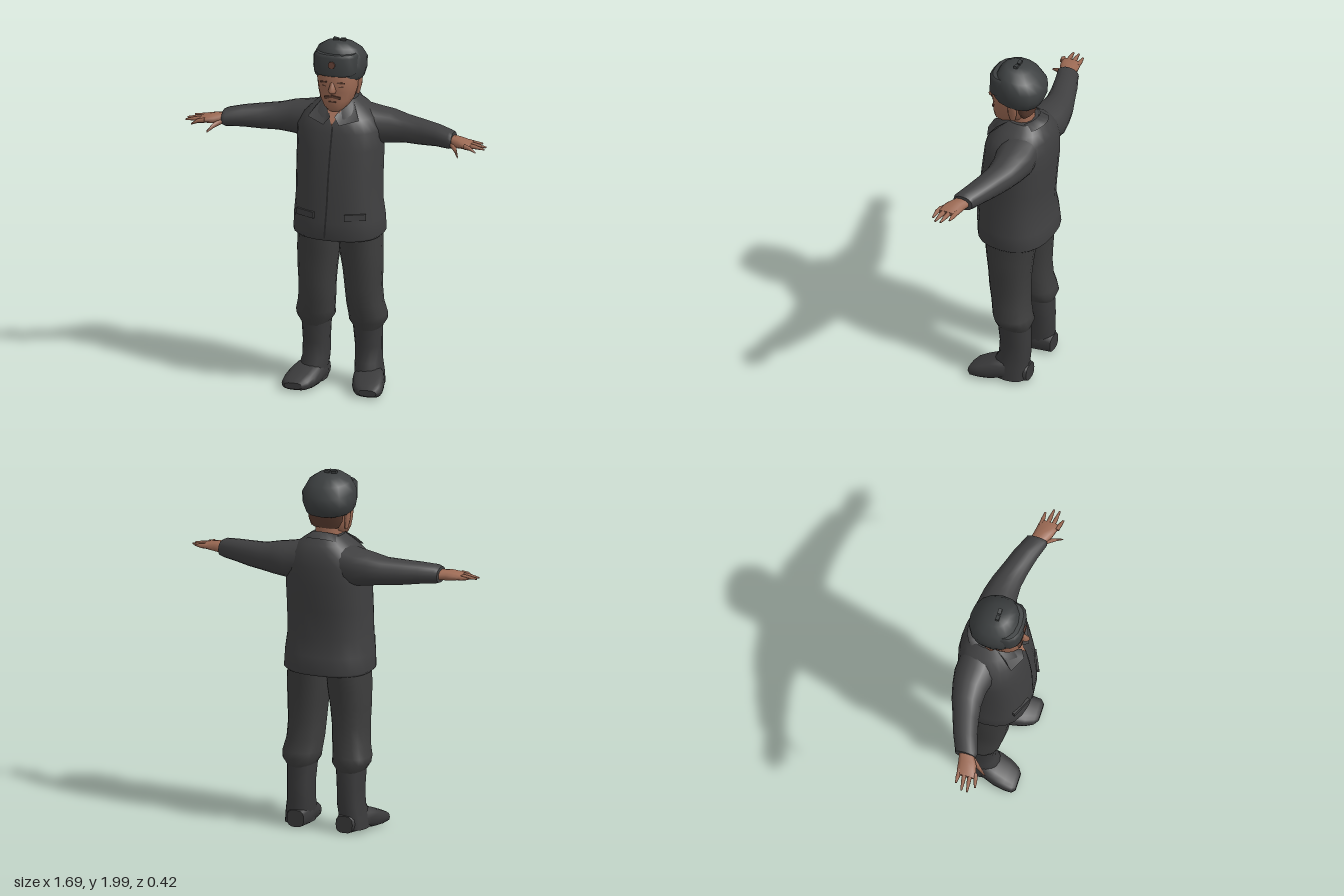
import * as THREE from 'three';

const mat = (name, color, side = THREE.FrontSide) => {
  const m = new THREE.MeshStandardMaterial({ color, side });
  m.name = name;
  return m;
};

// Skin over rings [t, a0, a1, b0, b1]: bounds of a superellipse section at t.
// Axis y uses a = x, b = z; axis x uses a = y, b = z; axis z uses a = x, b = y.
function loft(axis, rings, n = 16, power = 2.3, caps = true) {
  const pos = [], idx = [];
  const flip = (axis === 'y') !== (rings.at(-1)[0] < rings[0][0]);
  const put = (t, a, b) => {
    if (axis === 'y') pos.push(a, t, b);
    else if (axis === 'x') pos.push(t, a, b);
    else pos.push(a, b, t);
  };
  const tri = (a, b, c) => (flip ? idx.push(a, c, b) : idx.push(a, b, c));
  const bend = (v) => Math.sign(v) * Math.abs(v) ** (2 / power);
  const ring = ([t, a0, a1, b0, b1]) => {
    for (let j = 0; j < n; j++) {
      const w = (j / n) * Math.PI * 2;
      put(t, (a0 + a1) / 2 + bend(Math.cos(w)) * (a1 - a0) / 2,
        (b0 + b1) / 2 + bend(Math.sin(w)) * (b1 - b0) / 2);
    }
  };
  rings.forEach(ring);
  for (let i = 0; i < rings.length - 1; i++) {
    for (let j = 0; j < n; j++) {
      const k = (j + 1) % n, p = i * n, q = p + n;
      tri(p + j, p + k, q + k);
      tri(p + j, q + k, q + j);
    }
  }
  if (caps) {
    [rings[0], rings.at(-1)].forEach((r, end) => {
      const s = pos.length / 3;
      ring(r);
      put(r[0], (r[1] + r[2]) / 2, (r[3] + r[4]) / 2);
      for (let j = 0; j < n; j++) {
        const k = (j + 1) % n;
        if (end) tri(s + n, s + j, s + k);
        else tri(s + n, s + k, s + j);
      }
    });
  }
  return build(pos, idx);
}

function build(pos, idx) {
  const g = new THREE.BufferGeometry();
  g.setAttribute('position', new THREE.Float32BufferAttribute(pos, 3));
  g.setIndex(idx);
  g.computeVertexNormals();
  return g;
}

// Thin flat-sided patch fanned from its first corner
function patch(points) {
  const idx = [];
  for (let i = 1; i < points.length - 1; i++) idx.push(0, i, i + 1);
  return build(points.flat(), idx);
}

// Lift each vertex in proportion to its z
function shear(g, k) {
  const p = g.attributes.position;
  for (let i = 0; i < p.count; i++) p.setY(i, p.getY(i) + k * p.getZ(i));
  g.computeVertexNormals();
  return g;
}

function mirror(g) {
  const m = g.clone().scale(-1, 1, 1), ix = m.index.array;
  for (let i = 0; i < ix.length; i += 3) [ix[i], ix[i + 1]] = [ix[i + 1], ix[i]];
  m.computeVertexNormals();
  return m;
}

function plate(w, h, d, x, y, z, ry = 0, rz = 0) {
  return new THREE.BoxGeometry(w, h, d).rotateZ(rz).rotateY(ry).translate(x, y, z);
}

export function createModel() {
  const group = new THREE.Group();
  const coat = mat('coat cloth', 0x404041, THREE.DoubleSide);
  const trouser = mat('trouser cloth', 0x3d3d3d);
  const boot = mat('boot leather', 0x3a3a3b);
  const fur = mat('hat fur', 0x3c3f40);
  const seam = mat('dark seam', 0x2a2a2b, THREE.DoubleSide);
  const skin = mat('skin', 0x9c6a54, THREE.DoubleSide);
  const hair = mat('hair', 0x5a3c30);
  const badge = mat('badge', 0x6a453a);

  const add = (name, g, m) => {
    const mesh = new THREE.Mesh(g, m);
    mesh.name = name;
    group.add(mesh);
  };
  const pair = (name, g, m) => {
    add(name + 'Left', g, m);
    add(name + 'Right', mirror(g), m);
  };
  const sym = (y, rx, z0, z1) => [y, -rx, rx, z0, z1];

  // Jacket body
  add('jacket', loft('y', [
    sym(0.895, 0.235, -0.19, 0.19), sym(0.91, 0.25, -0.205, 0.207), sym(1.0, 0.247, -0.195, 0.207),
    sym(1.1, 0.236, -0.175, 0.2), sym(1.25, 0.235, -0.187, 0.195), sym(1.4, 0.236, -0.2, 0.178),
    sym(1.5, 0.235, -0.2, 0.165), sym(1.57, 0.2, -0.19, 0.142), sym(1.62, 0.145, -0.165, 0.1),
    sym(1.66, 0.09, -0.125, 0.06),
  ], 24, 2.4), coat);
  add('collar', shear(loft('y', [
    sym(1.585, 0.125, -0.165, 0.12), sym(1.635, 0.088, -0.115, 0.075), sym(1.6, 0.075, -0.1, 0.06),
  ], 20, 2, false), -0.45), coat);
  pair('collarLeaf', patch([
    [0.08, 1.665, 0.02], [0.115, 1.62, 0.085], [0.145, 1.575, 0.125],
    [0.045, 1.55, 0.167], [0.012, 1.59, 0.145], [0.045, 1.64, 0.09],
  ]), coat);
  add('throat', patch([[-0.045, 1.63, 0.1], [0, 1.545, 0.162], [0.045, 1.63, 0.1]]), skin);
  const front = [[1.54, 0.159], [1.4, 0.182], [1.25, 0.199], [1.1, 0.204], [1.0, 0.211], [0.915, 0.211]];
  front.slice(1).forEach(([y, z], i) => {
    const [y0, z0] = front[i], x = -0.006 * i, e = x - 0.006;
    add('frontSeam', patch([[x, y0, z0], [e, y, z], [e + 0.01, y, z], [x + 0.01, y0, z0]]), seam);
  });
  pair('pocketFlap', plate(0.12, 0.035, 0.014, 0.14, 1.04, 0.18, 0.44), coat);

  // Sleeves
  pair('sleeve', loft('x', [
    [0.1, 1.42, 1.625, -0.17, 0.05], [0.2, 1.4, 1.602, -0.178, 0.045], [0.28, 1.41, 1.59, -0.165, 0.025],
    [0.36, 1.42, 1.57, -0.145, 0.022], [0.45, 1.424, 1.562, -0.112, 0.036], [0.55, 1.435, 1.552, -0.077, 0.06],
    [0.63, 1.438, 1.54, -0.042, 0.085], [0.65, 1.445, 1.53, -0.035, 0.08],
  ], 16, 2.2), coat);

  // Hands: palm, four fanned fingers and a thumb
  pair('palm', loft('x', [
    [0.62, 1.455, 1.515, -0.02, 0.06], [0.69, 1.457, 1.513, -0.005, 0.1],
    [0.74, 1.462, 1.503, 0.002, 0.115], [0.765, 1.47, 1.495, 0.008, 0.112],
  ], 10), skin);
  [[0.01, 0.815, 0.02, 1.482], [0.04, 0.845, 0.06, 1.476], [0.07, 0.845, 0.092, 1.474], [0.1, 0.805, 0.125, 1.462]]
    .forEach(([z, x, tz, ty]) => pair('finger', loft('x', [
      [0.735, 1.468, 1.5, z - 0.005, z + 0.022],
      [(0.735 + x) / 2, 1.468, 1.493, (z + tz) / 2 - 0.008, (z + tz) / 2 + 0.017],
      [x, ty - 0.005, ty + 0.005, tz - 0.005, tz + 0.006],
    ], 6, 2), skin));
  pair('thumb', loft('x', [
    [0.645, 1.46, 1.49, 0.04, 0.08], [0.685, 1.443, 1.475, 0.085, 0.125], [0.71, 1.428, 1.442, 0.14, 0.156],
  ], 6, 2), skin);

  // Trousers, bloused over the boot tops
  pair('trouserLeg', loft('y', [
    [0.94, -0.005, 0.23, -0.155, 0.145], [0.8, 0.004, 0.235, -0.135, 0.127], [0.7, 0.02, 0.235, -0.125, 0.112],
    [0.6, 0.03, 0.23, -0.12, 0.105], [0.5, 0.036, 0.236, -0.125, 0.088], [0.43, 0.044, 0.253, -0.14, 0.075],
    [0.395, 0.045, 0.25, -0.15, 0.065], [0.35, 0.075, 0.22, -0.132, 0.05],
  ]), trouser);

  // Boots
  pair('bootShaft', loft('y', [
    [0.38, 0.065, 0.225, -0.13, 0.052], [0.25, 0.075, 0.22, -0.135, 0.037], [0.16, 0.075, 0.222, -0.133, 0.042],
    [0.1, 0.08, 0.235, -0.13, 0.075], [0.03, 0.085, 0.24, -0.128, 0.07],
  ]), boot);
  pair('bootFoot', loft('z', [
    [-0.135, 0.095, 0.195, 0.015, 0.11], [-0.05, 0.08, 0.225, 0.01, 0.14], [0, 0.08, 0.25, 0.022, 0.14],
    [0.06, 0.088, 0.27, 0.01, 0.125], [0.12, 0.105, 0.28, 0.01, 0.1], [0.165, 0.13, 0.28, 0.014, 0.08],
    [0.185, 0.16, 0.26, 0.025, 0.06],
  ], 16, 2.8), boot);

  // Head
  add('neck', loft('y', [sym(1.56, 0.075, -0.09, 0.08), sym(1.72, 0.07, -0.08, 0.06)], 14), skin);
  add('face', loft('y', [
    sym(1.615, 0.035, 0.04, 0.125), sym(1.64, 0.065, -0.01, 0.142), sym(1.68, 0.092, -0.06, 0.145),
    sym(1.73, 0.106, -0.08, 0.143), sym(1.79, 0.112, -0.095, 0.153), sym(1.87, 0.11, -0.1, 0.13),
  ], 18), skin);
  add('nose', loft('y', [
    sym(1.79, 0.011, 0.11, 0.153), sym(1.745, 0.021, 0.11, 0.188), sym(1.727, 0.018, 0.11, 0.162),
  ], 8, 2), skin);
  pair('ear', loft('y', [
    [1.69, 0.09, 0.108, -0.02, 0.01], [1.74, 0.095, 0.12, -0.035, 0.02], [1.79, 0.095, 0.125, -0.035, 0.02],
  ], 8, 2), skin);
  add('backHair', loft('y', [
    sym(1.7, 0.075, -0.086, -0.02), sym(1.74, 0.1, -0.093, -0.02), sym(1.8, 0.108, -0.1, -0.02),
  ], 14), hair);
  pair('eyebrow', plate(0.045, 0.009, 0.009, 0.048, 1.787, 0.141, 0.3, -0.1), hair);
  pair('eye', plate(0.028, 0.008, 0.009, 0.047, 1.765, 0.135, 0.3), hair);
  pair('moustache', plate(0.046, 0.014, 0.009, 0.022, 1.703, 0.143, 0.1, -0.22), hair);
  add('mouth', plate(0.04, 0.007, 0.009, 0, 1.676, 0.143), hair);

  // Fur hat with turned-up brow flap, tie and round badge
  add('hatCrown', shear(loft('y', [
    sym(1.775, 0.115, -0.09, 0.12), sym(1.79, 0.132, -0.125, 0.14), sym(1.84, 0.145, -0.148, 0.142),
    sym(1.9, 0.145, -0.15, 0.13), sym(1.95, 0.118, -0.11, 0.105), sym(1.98, 0.07, -0.065, 0.07),
    sym(1.985, 0.02, -0.02, 0.02),
  ], 16, 2.2), 0.16), fur);
  add('hatBrowFlap', loft('y', [
    sym(1.822, 0.11, -0.03, 0.15), sym(1.835, 0.122, -0.03, 0.157), sym(1.925, 0.122, -0.03, 0.155),
    sym(1.94, 0.11, -0.03, 0.14),
  ], 16, 2.6), fur);
  pair('hatTie', plate(0.03, 0.014, 0.02, 0.02, 1.992, 0.01, 0, 0.15), fur);
  add('hatBadge', new THREE.CylinderGeometry(0.02, 0.02, 0.008, 10).rotateX(Math.PI / 2)
    .translate(0, 1.89, 0.159), badge);

  return group;
}
